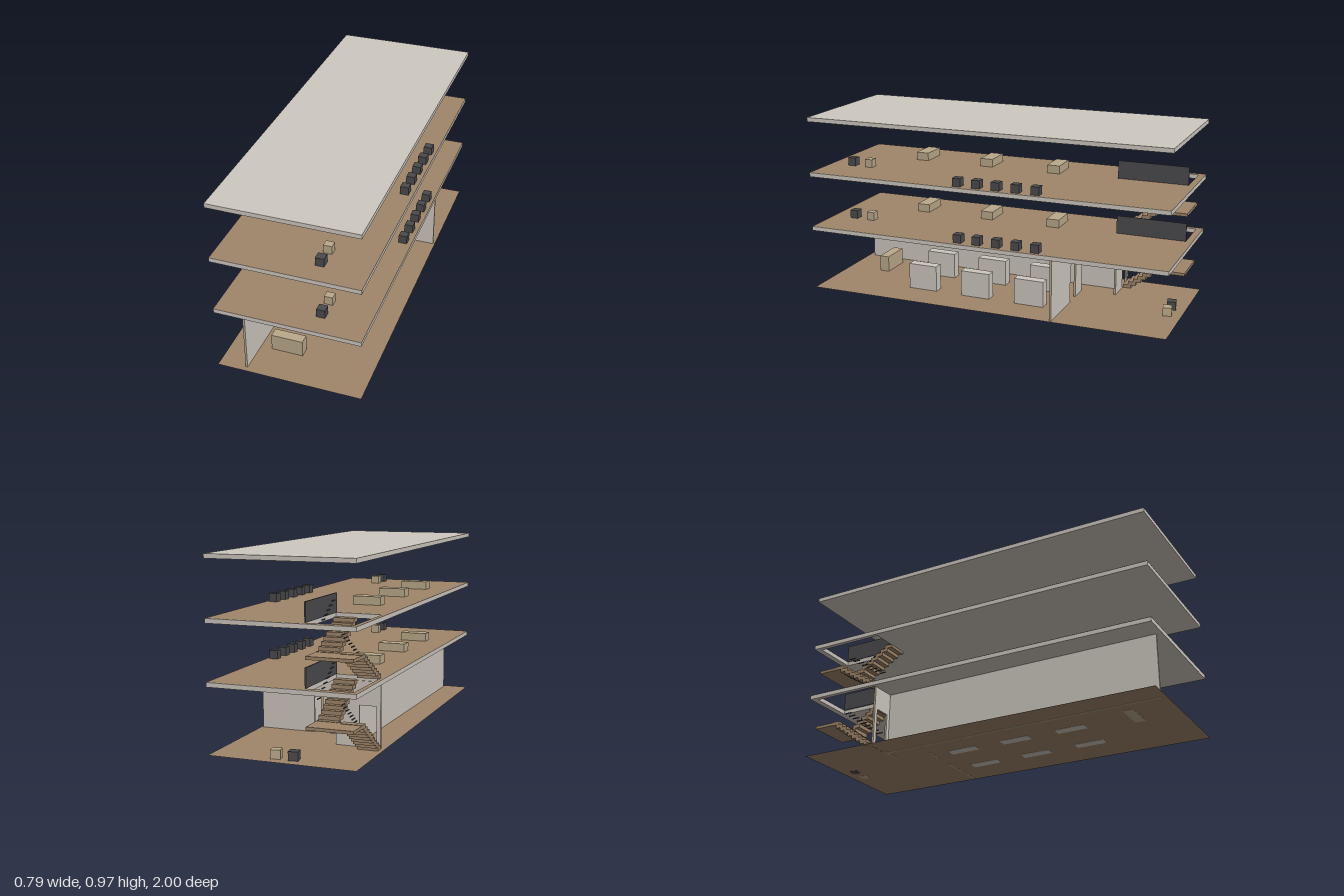
import * as THREE from 'three';

export function createModel() {
  const model = new THREE.Group();
  const mat = (name, color, side = THREE.FrontSide) => {
    const m = new THREE.MeshStandardMaterial({ color, side });
    m.name = name;
    return m;
  };
  const concrete = mat('concrete', 0xcfc9c0);
  const timber = mat('timber', 0xa0866a, THREE.DoubleSide);
  const tan = mat('tan', 0xbbaa8b);
  const charcoal = mat('charcoal', 0x4b4a4d);

  const add = (name, geometry, material, parent = model) => {
    const mesh = new THREE.Mesh(geometry, material);
    mesh.name = name;
    parent.add(mesh);
    return mesh;
  };
  // box given by its limits on each axis
  const box = (name, material, [x0, x1], [y0, y1], [z0, z1], parent) => {
    const mesh = add(name, new THREE.BoxGeometry(x1 - x0, y1 - y0, z1 - z0), material, parent);
    mesh.position.set((x0 + x1) / 2, (y0 + y1) / 2, (z0 + z1) / 2);
    return mesh;
  };
  const polygon = (pts) => new THREE.Shape(pts.map(([x, y]) => new THREE.Vector2(x, y)));

  // slightly skewed floor outline (shape y is -z), with an optional stairwell
  const plan = (stairwell) => {
    const s = polygon([[-0.37, -1], [0.395, -1], [0.367, 1], [-0.395, 1]]);
    if (stairwell) s.holes.push(polygon([[-0.37, 0.585], [-0.37, 0.965], [-0.13, 0.965], [-0.13, 0.585]]));
    return s;
  };
  const slab = (name, y, stairwell) => {
    const g = new THREE.ExtrudeGeometry(plan(stairwell), { depth: 0.023, bevelEnabled: false });
    add(name, g.rotateX(-Math.PI / 2), concrete).position.y = y;
  };
  const floorFinish = (name, y, stairwell) => {
    add(name, new THREE.ShapeGeometry(plan(stairwell)).rotateX(-Math.PI / 2), timber).position.y = y;
  };

  floorFinish('groundFloor', 0.001, false);
  slab('firstFloorSlab', 0.333, true);
  floorFinish('firstFloorFinish', 0.357, true);
  slab('secondFloorSlab', 0.639, true);
  floorFinish('secondFloorFinish', 0.663, true);
  slab('roofSlab', 0.944, false);

  // ground floor walls: pale faces, tan edges, optional doorway
  const wall = (name, a, b, door) => {
    const pts = [[a, 0]];
    if (door) pts.push([door[0], 0], [door[0], 0.21], [door[1], 0.21], [door[1], 0]);
    pts.push([b, 0], [b, 0.333], [a, 0.333]);
    const g = new THREE.ExtrudeGeometry(polygon(pts), { depth: 0.011, bevelEnabled: false });
    return add(name, g, [concrete, tan]);
  };
  wall('stairWall', -0.365, -0.13, [-0.343, -0.254]).position.z = -0.59;
  wall('crossWall', -0.12, 0.365, [-0.02, 0.07]).position.z = -0.395;
  const longWall = wall('longWall', -0.97, 0.579);
  longWall.rotation.y = Math.PI / 2;
  longWall.position.x = -0.231;

  // ground floor furniture
  for (const z of [0.425, 0.108, -0.205])
    for (const x of [-0.063, 0.172])
      box('displayBlock', concrete, [x - 0.027, x + 0.027], [0, 0.143], [z - 0.083, z + 0.083]);
  box('counter', tan, [-0.16, 0.01], [0, 0.09], [0.745, 0.8]);
  [[0.04, tan], [-0.052, charcoal]].forEach(([x, material]) => {
    box('backStool', material, [x - 0.025, x + 0.025], [0, 0.046], [-0.947, -0.9]).rotation.y = 0.2;
  });

  // furniture and stairwell guard on each upper floor
  for (const y of [0.357, 0.662]) {
    const floor = new THREE.Group();
    floor.name = 'upperFloorFurniture';
    floor.position.y = y;
    model.add(floor);
    const h = [0, 0.045];
    for (const z of [0.562, 0.165, -0.23])
      box('bench', tan, [-0.245, -0.095], h, [z - 0.036, z + 0.036], floor);
    for (let i = 0; i < 5; i++) {
      const z = 0.138 - i * 0.109;
      box('seat', charcoal, [0.314, 0.359], h, [z - 0.023, z + 0.023], floor);
    }
    box('frontSeat', charcoal, [0.126, 0.171], h, [0.845, 0.89], floor);
    box('sideTable', tan, [0.126, 0.171], h, [0.74, 0.782], floor);
    box('stairGuard', charcoal, [-0.134, -0.128], [0, 0.098], [-0.966, -0.585], floor);
  }

  // two-flight stairs with a half landing and short handrail bars
  const stairs = (base, top, n) => {
    const group = new THREE.Group();
    group.name = 'staircase';
    model.add(group);
    const rise = (top - base) / 2 / n, run = 0.245 / n, mid = (base + top) / 2;
    for (let i = 0; i < n; i++) {
      const y = base + (i + 1) * rise, z = -0.595 - i * run;
      box('lowerStep', timber, [-0.368, -0.26], [y - rise, y], [z - run - 0.016, z], group);
      box('lowerRail', charcoal, [-0.267, -0.262], [y + 0.084, y + 0.089], [z - 0.04, z], group);
      const y2 = mid + i * rise, z2 = -0.84 + i * run;
      box('upperStep', timber, [-0.24, -0.131], [y2 - rise, y2], [z2, z2 + run + 0.016], group);
      if (i < n - 1)
        box('upperRail', charcoal, [-0.139, -0.134], [y2 + 0.1, y2 + 0.105], [z2, z2 + 0.04], group);
    }
    box('landing', timber, [-0.368, -0.131], [mid - 0.018, mid - 0.002], [-0.966, -0.83], group);
  };
  stairs(0, 0.357, 9);
  stairs(0.357, 0.662, 8);

  return model;
}
